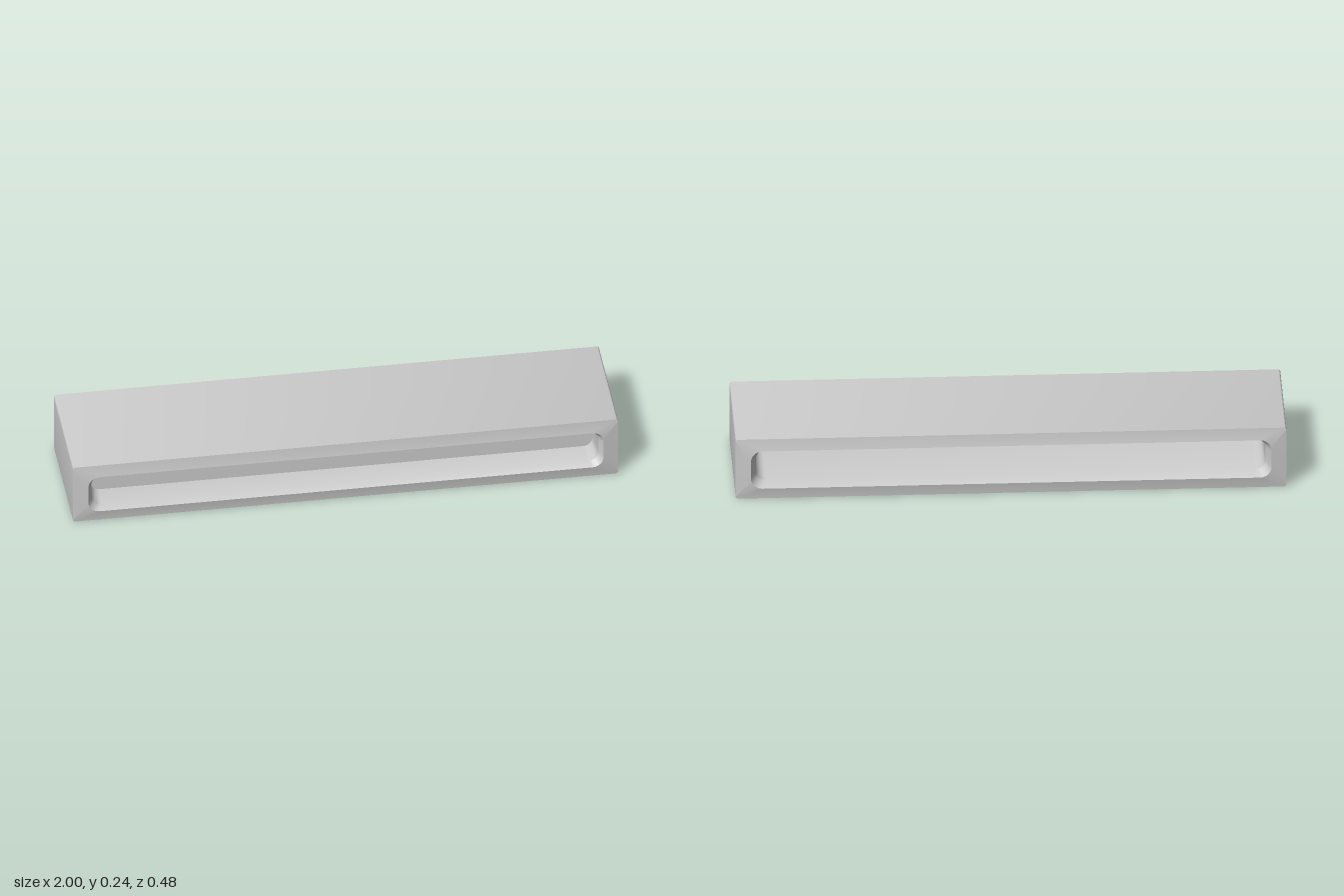
import * as THREE from 'three';
import { toCreasedNormals } from 'three/addons/utils/BufferGeometryUtils.js';

const MID = 0.12; // height of the centre line

// Rounded rectangle, counter-clockwise as seen from the front
function ring(w, h, r, z, steps = 6) {
  const pts = [];
  [[1, 1], [-1, 1], [-1, -1], [1, -1]].forEach(([sx, sy], q) => {
    for (let i = 0; i <= steps; i++) {
      const a = (q + i / steps) * Math.PI / 2;
      pts.push([sx * (w - r) + r * Math.cos(a), MID + sy * (h - r) + r * Math.sin(a), z]);
    }
  });
  return pts;
}

// Skin joining successive rings
function loft(rings) {
  const n = rings[0].length, index = [];
  for (let k = 0; k < rings.length - 1; k++) {
    for (let i = 0; i < n; i++) {
      const a = k * n + i, b = k * n + (i + 1) % n;
      index.push(a, b, b + n, a, b + n, a + n);
    }
  }
  const g = new THREE.BufferGeometry();
  g.setAttribute('position', new THREE.Float32BufferAttribute(rings.flat(2), 3));
  g.setIndex(index);
  return toCreasedNormals(g, 0.4);
}

export function createModel() {
  const group = new THREE.Group();
  const material = new THREE.MeshStandardMaterial({ color: 0xcccccc, side: THREE.DoubleSide });
  const add = (name, geometry) => {
    const mesh = new THREE.Mesh(geometry, material);
    mesh.name = name;
    group.add(mesh);
  };

  // Sleeve: outer skin, sloping rims front and back, and the slot running through
  add('sleeve', loft([
    ring(0.921, 0.058, 0.035, 0.13),
    ring(0.925, 0.062, 0.037, -0.2),
    ring(0.945, 0.076, 0.042, -0.241),
    ring(1, 0.12, 0.01, -0.23),
    ring(1, 0.12, 0.01, 0.23),
    ring(0.945, 0.076, 0.042, 0.241),
    ring(0.93, 0.065, 0.038, 0.215),
    ring(0.921, 0.058, 0.035, 0.13),
  ]));

  // Panel set back inside the front opening
  const outline = new THREE.Shape(ring(0.921, 0.058, 0.035, 0).map(([x, y]) => new THREE.Vector2(x, y)));
  add('frontPanel', new THREE.ShapeGeometry(outline).translate(0, 0, 0.13));

  return group;
}
